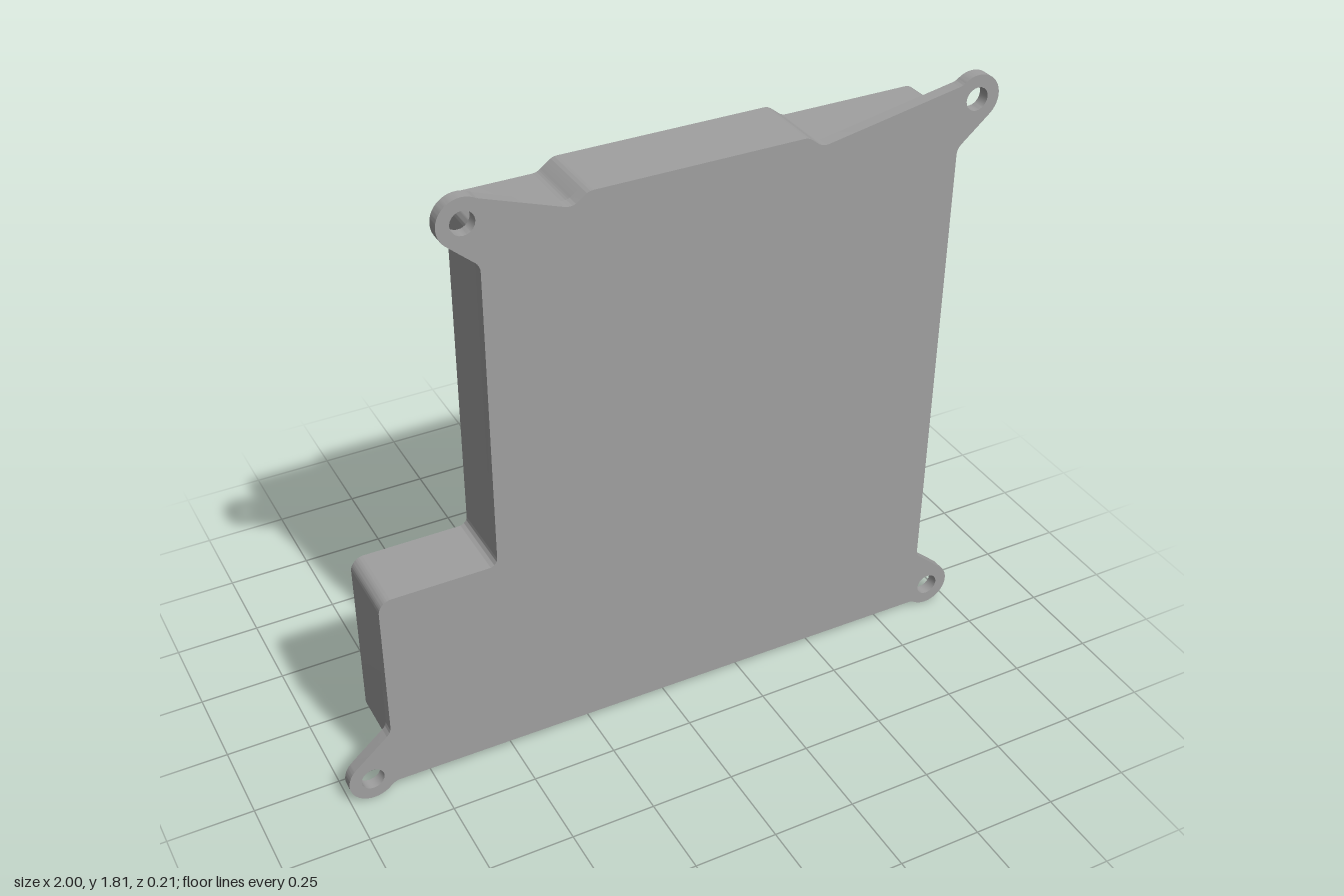
import * as THREE from 'three';
import { toCreasedNormals } from 'three/addons/utils/BufferGeometryUtils.js';

const FRONT = 0.105, BACK = -0.105, FLOOR = 0.07, WALL = 0.035;
const L = -0.865, R = 0.88, B = 0.13, T = 1.715, BUMP = 1.75, NX = -0.52, NY = 0.685;

// Closed path through [x, y, radius] corners, each rounded with a true arc
function roundedPath(pts, Type = THREE.Shape) {
  const path = new Type();
  pts.forEach(([x, y, r], i) => {
    const p = new THREE.Vector2(x, y);
    const a = pts[(i + pts.length - 1) % pts.length], b = pts[(i + 1) % pts.length];
    const u = new THREE.Vector2(a[0] - x, a[1] - y).normalize();
    const v = new THREE.Vector2(b[0] - x, b[1] - y).normalize();
    const half = Math.acos(THREE.MathUtils.clamp(u.dot(v), -1, 1)) / 2;
    const t = r / Math.tan(half);
    const start = p.clone().addScaledVector(u, t), end = p.clone().addScaledVector(v, t);
    const c = p.clone().addScaledVector(u.clone().add(v).normalize(), r / Math.sin(half));
    if (i === 0) path.moveTo(start.x, start.y);
    path.absarc(c.x, c.y, r,
      Math.atan2(start.y - c.y, start.x - c.x), Math.atan2(end.y - c.y, end.x - c.x),
      u.x * v.y - u.y * v.x > 0);
  });
  path.closePath();
  return path;
}

// Stepped top edge, running from +x to -x
function topEdge(w) {
  const s = w * 0.34;
  return [[0.45 - s, T - w, 0.04], [0.405 - s, BUMP - w, 0.04],
    [-0.225 + s, BUMP - w, 0.04], [-0.27 + s, T - w, 0.04]];
}

// Body outline moved inward by w, counter-clockwise
function bodyOutline(w) {
  const r = w ? 0.018 : 0.04, rn = w ? 0.05 : 0.025;
  return [[L + w, B + w, r], [R - w, B + w, r], [R - w, T - w, r], ...topEdge(w),
    [NX + w, T - w, r], [NX + w, NY - w, rn], [L + w, NY - w, r]];
}

// Mounting ear: round end plus the two points where its sides meet the body
const EAR = 0.07;
function ear({ x, y, sx, sy, edgeX, edgeY }) {
  const a = THREE.MathUtils.degToRad(41);
  const dx = sx * Math.cos(a), dy = sy * Math.sin(a);
  const side = (k) => {
    const px = x + k * dy * EAR, py = y - k * dx * EAR;
    // the side nearer the vertical edge ends there, the other on the horizontal edge
    const vertical = k * sx * sy > 0 ? sy * sx * k * dy * sx < 0 : k * dy * sx < 0;
    const onVertical = (px - x) * sx > 0 ? true : vertical;
    const t = onVertical ? (px - edgeX) / dx : (py - edgeY) / dy;
    return [[px - dx * t, py - dy * t, 0.04], [px + dx * EAR, py + dy * EAR, EAR * 0.999]];
  };
  const [rootA, tipA] = side(1), [rootB, tipB] = side(-1);
  return [rootA, tipA, tipB, rootB];
}

const EARS = [
  { x: -0.93, y: 0.072, sx: -1, sy: -1, edgeX: L, edgeY: B },
  { x: 0.93, y: 0.072, sx: 1, sy: -1, edgeX: R, edgeY: B },
  { x: 0.93, y: 1.745, sx: 1, sy: 1, edgeX: R, edgeY: T },
  { x: -0.56, y: 1.745, sx: -1, sy: 1, edgeX: NX, edgeY: T },
];

function extrude(shape, z0, z1) {
  const g = new THREE.ExtrudeGeometry(shape, { depth: z1 - z0, bevelEnabled: false, curveSegments: 10 });
  g.translate(0, 0, z0);
  return toCreasedNormals(g, 0.6);
}

export function createModel() {
  const group = new THREE.Group();
  const grey = new THREE.MeshStandardMaterial({ color: 0xa0a0a0 });
  grey.name = 'plain grey';
  const add = (name, geometry) => {
    const mesh = new THREE.Mesh(geometry, grey);
    mesh.name = name;
    group.add(mesh);
    return mesh;
  };

  // Front plate with four drilled ears
  const [bl, br, tr, tl] = EARS.map(ear);
  const plate = roundedPath([...bl, ...br, ...tr, ...topEdge(0), ...tl,
    [NX, NY, 0.025], [L, NY, 0.04]]);
  for (const e of EARS) {
    const hole = new THREE.Path();
    hole.absarc(e.x, e.y, 0.034, 0, Math.PI * 2, true);
    plate.holes.push(hole);
  }
  add('frontPlate', extrude(plate, FLOOR, FRONT));

  // Side walls, open at the back
  const walls = roundedPath(bodyOutline(0));
  walls.holes.push(roundedPath(bodyOutline(WALL), THREE.Path));
  add('sideWalls', extrude(walls, BACK, FLOOR));

  // Hollow screw posts with flared feet
  const profile = [[0.048, 0], [0.039, 0.005], [0.033, 0.012], [0.03, 0.024], [0.03, 0.135],
    [0.016, 0.135], [0.016, 0.03], [0, 0.03]].map(([r, h]) => new THREE.Vector2(r, h));
  const post = toCreasedNormals(new THREE.LatheGeometry(profile, 28).rotateX(-Math.PI / 2).toNonIndexed(), 0.7);
  [[0.64, 0.715], [-0.275, 0.715], [0.36, 1.667], [-0.795, 0.605], [-0.795, 0.21]].forEach(([x, y], i) => {
    add(`screwPost${i + 1}`, post).position.set(x, y, FLOOR);
  });
  return group;
}
